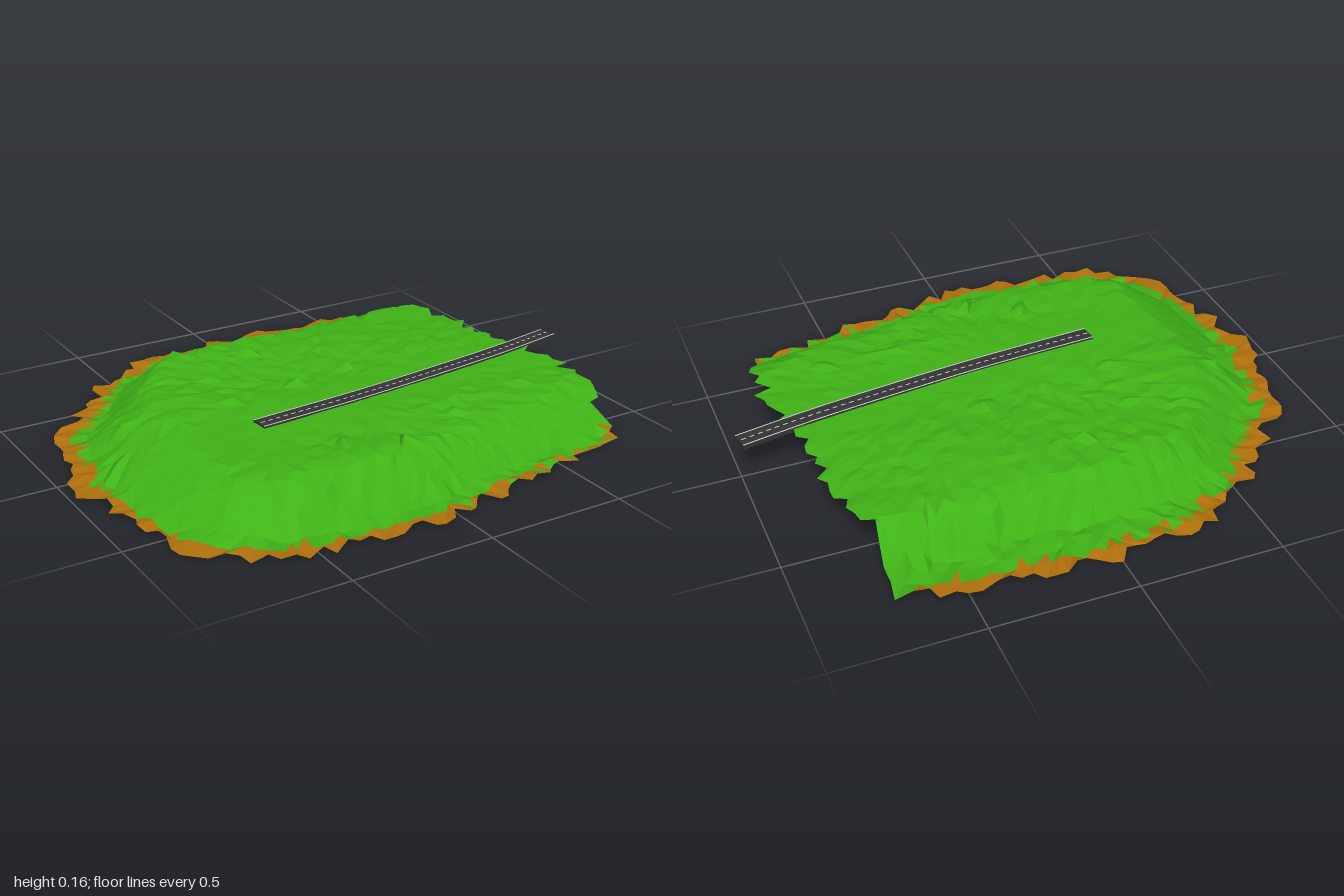
import * as THREE from 'three';

// Plan outlines as [x, z] loops: ragged rim, foot of the slope, edge of the plateau.
// On the east side foot and plateau run past the rim, so the hill is cut off open there.
const RIM = [[0.81, 0], [0.85, 0.2], [0.835, 0.43], [0.795, 0.58], [0.77, 0.67], [0.5, 0.72], [0.2, 0.78],
  [-0.1, 0.85], [-0.4, 0.83], [-0.6, 0.81], [-0.76, 0.7], [-0.88, 0.55], [-0.9, 0.35], [-0.965, 0.1],
  [-0.92, -0.1], [-0.88, -0.3], [-0.7, -0.5], [-0.54, -0.68], [-0.3, -0.84], [0, -0.86], [0.3, -0.84],
  [0.6, -0.82], [0.7, -0.77], [0.72, -0.58], [0.77, -0.38], [0.79, -0.15]];
const FOOT = [[1.6, 0.45], [0.8, 0.59], [0.3, 0.68], [0, 0.72], [-0.5, 0.72], [-0.71, 0.66], [-0.82, 0.4],
  [-0.85, 0.1], [-0.81, -0.2], [-0.61, -0.46], [-0.44, -0.63], [-0.2, -0.68], [0.2, -0.67], [1.6, -0.66]];
const TOP = [[1.1, 0.3], [0.8, 0.38], [0.5, 0.5], [0, 0.56], [-0.5, 0.55], [-0.59, 0.45], [-0.61, 0.1],
  [-0.59, -0.15], [-0.48, -0.35], [-0.35, -0.5], [-0.1, -0.56], [0.3, -0.54], [1.1, -0.53]];

const PLATEAU = 0.141, GROUND = 0.015;

let seed = 7;
function rand() { // seeded, -1..1
  seed = (seed * 48271) % 2147483647;
  return (seed / 2147483647) * 2 - 1;
}

// Distance from the centre to a loop along an angle
function reach(loop, angle) {
  const dx = Math.cos(angle), dz = Math.sin(angle);
  let best = 0;
  loop.forEach(([ax, az], i) => {
    const [bx, bz] = loop[(i + 1) % loop.length];
    const ex = bx - ax, ez = bz - az, det = dx * ez - dz * ex;
    if (Math.abs(det) < 1e-9) return;
    const r = (ax * ez - az * ex) / det;
    const s = (ax * dz - az * dx) / det;
    if (r > 0 && s >= -1e-6 && s <= 1 + 1e-6) best = Math.max(best, r);
  });
  return best;
}

const roadCurve = new THREE.CatmullRomCurve3([[-0.35, 0.177], [0.1, 0.14], [0.5, 0.09], [0.75, 0.052], [0.993, 0.005]]
  .map(([x, z]) => new THREE.Vector3(x, 0, z)));

function terrainHeight(x, z) {
  const angle = Math.atan2(z, x), r = Math.hypot(x, z);
  const top = reach(TOP, angle), foot = reach(FOOT, angle);
  const t = THREE.MathUtils.clamp((r - top) / (foot - top), 0, 1);
  const roadZ = 0.15 - 0.13 * x;
  const rough = THREE.MathUtils.smoothstep(Math.abs(z - roadZ), 0.05, 0.25); // calm beside the road
  const swell = 0.004 * Math.sin(7 * x + 3 * z) + 0.004 * Math.sin(11 * z - 5 * x);
  const bump = (swell + 0.006 * rand() + (rand() > 0.975 ? 0.018 : 0)) * (0.15 + 0.85 * rough);
  const lump = t < 1 ? bump : 0.008 * rand();
  return Math.max(0, GROUND + (PLATEAU - GROUND) * (1 - Math.pow(t, 1.3)) + lump);
}

// Bare soil beyond the grass line, none along the open east side
function isSoil(x, z) {
  const angle = Math.atan2(z, x), rim = reach(RIM, angle), foot = reach(FOOT, angle);
  if (rim < foot || (z < 0 && x > 0.64)) return false;
  const share = 0.68 + 0.38 * Math.min(x, 0);
  return Math.hypot(x, z) > foot + share * (rim - foot) + 0.02 * rand();
}

// Square grid folded into a disc and stretched to the rim, split into grass and soil
function buildTerrain() {
  const n = 38, points = [];
  for (let j = 0; j <= n; j++) {
    for (let i = 0; i <= n; i++) {
      const u = (2 * i) / n - 1, v = (2 * j) / n - 1;
      const s = Math.max(Math.abs(u), Math.abs(v));
      let angle = 0;
      if (s > 0) {
        angle = Math.abs(u) >= Math.abs(v)
          ? (Math.PI / 4) * (v / u) + (u < 0 ? Math.PI : 0)
          : Math.PI / 2 - (Math.PI / 4) * (u / v) + (v < 0 ? Math.PI : 0);
      }
      const edge = s > 0.999;
      const r = s * reach(RIM, angle) + (edge ? 0.034 : 0.01) * rand();
      const x = r * Math.cos(angle) + (edge ? 0 : 0.008 * rand());
      const z = r * Math.sin(angle) + (edge ? 0 : 0.008 * rand());
      points.push(new THREE.Vector3(Math.max(x, -1), terrainHeight(x, z), z));
    }
  }
  const grass = [], soil = [];
  const addTriangle = (...ids) => {
    const [a, b, c] = ids.map((id) => points[id]);
    const list = isSoil((a.x + b.x + c.x) / 3, (a.z + b.z + c.z) / 3) ? soil : grass;
    list.push(a, b, c);
  };
  for (let j = 0; j < n; j++) {
    for (let i = 0; i < n; i++) {
      const a = j * (n + 1) + i, b = a + 1, c = a + n + 1, d = c + 1;
      // diagonals point at the centre, so the folded corners keep no slivers
      if ((i < n / 2) === (j < n / 2)) {
        addTriangle(a, c, d);
        addTriangle(a, d, b);
      } else {
        addTriangle(a, c, b);
        addTriangle(b, c, d);
      }
    }
  }
  return [grass, soil].map((list) => {
    const geometry = new THREE.BufferGeometry().setFromPoints(list);
    geometry.computeVertexNormals();
    return geometry;
  });
}

// Box-section strip following the road between curve parameters t0 and t1
function roadStrip(offset, width, y0, y1, t0 = 0, t1 = 1, steps = 24) {
  const positions = [], index = [];
  for (let i = 0; i <= steps; i++) {
    const t = t0 + ((t1 - t0) * i) / steps;
    const p = roadCurve.getPointAt(t), d = roadCurve.getTangentAt(t);
    const corners = [[-0.5, y0], [0.5, y0], [0.5, y1], [-0.5, y1]];
    for (const [side, y] of corners) {
      const w = offset + side * width;
      positions.push(p.x - d.z * w, y, p.z + d.x * w);
    }
    if (i === steps) continue;
    for (let k = 0; k < 4; k++) {
      const a = i * 4 + k, b = i * 4 + ((k + 1) % 4);
      index.push(a, a + 4, b, b, a + 4, b + 4);
    }
  }
  const e = steps * 4;
  index.push(0, 1, 2, 0, 2, 3, e, e + 2, e + 1, e, e + 3, e + 2);
  const geometry = new THREE.BufferGeometry();
  geometry.setAttribute('position', new THREE.Float32BufferAttribute(positions, 3));
  geometry.setIndex(index);
  const flat = geometry.toNonIndexed();
  flat.computeVertexNormals();
  return flat;
}

export function createModel() {
  seed = 7;
  const model = new THREE.Group();
  const material = (color) => new THREE.MeshStandardMaterial({ color, flatShading: true, side: THREE.DoubleSide });
  const add = (parent, name, geometry, mat) => {
    const mesh = new THREE.Mesh(geometry, mat);
    mesh.name = name;
    parent.add(mesh);
  };

  // Hill
  const [grass, soil] = buildTerrain();
  add(model, 'grassHill', grass, material(0x40b216));
  add(model, 'soilRim', soil, material(0xb0700c));

  // Road with edge lines and a dashed centre line
  const road = new THREE.Group();
  road.name = 'road';
  model.add(road);
  const paint = material(0xd8d8d8);
  add(road, 'asphalt', roadStrip(0, 0.066, 0.13, 0.148), material(0x343434));
  for (const side of [-1, 1]) add(road, 'edgeLine', roadStrip(side * 0.0315, 0.004, 0.1475, 0.149), paint);
  const dashes = 44;
  for (let i = 0; i < dashes; i++) {
    add(road, 'centreDash', roadStrip(0, 0.004, 0.1475, 0.149, (i + 0.2) / dashes, (i + 0.75) / dashes, 1), paint);
  }
  return model;
}
